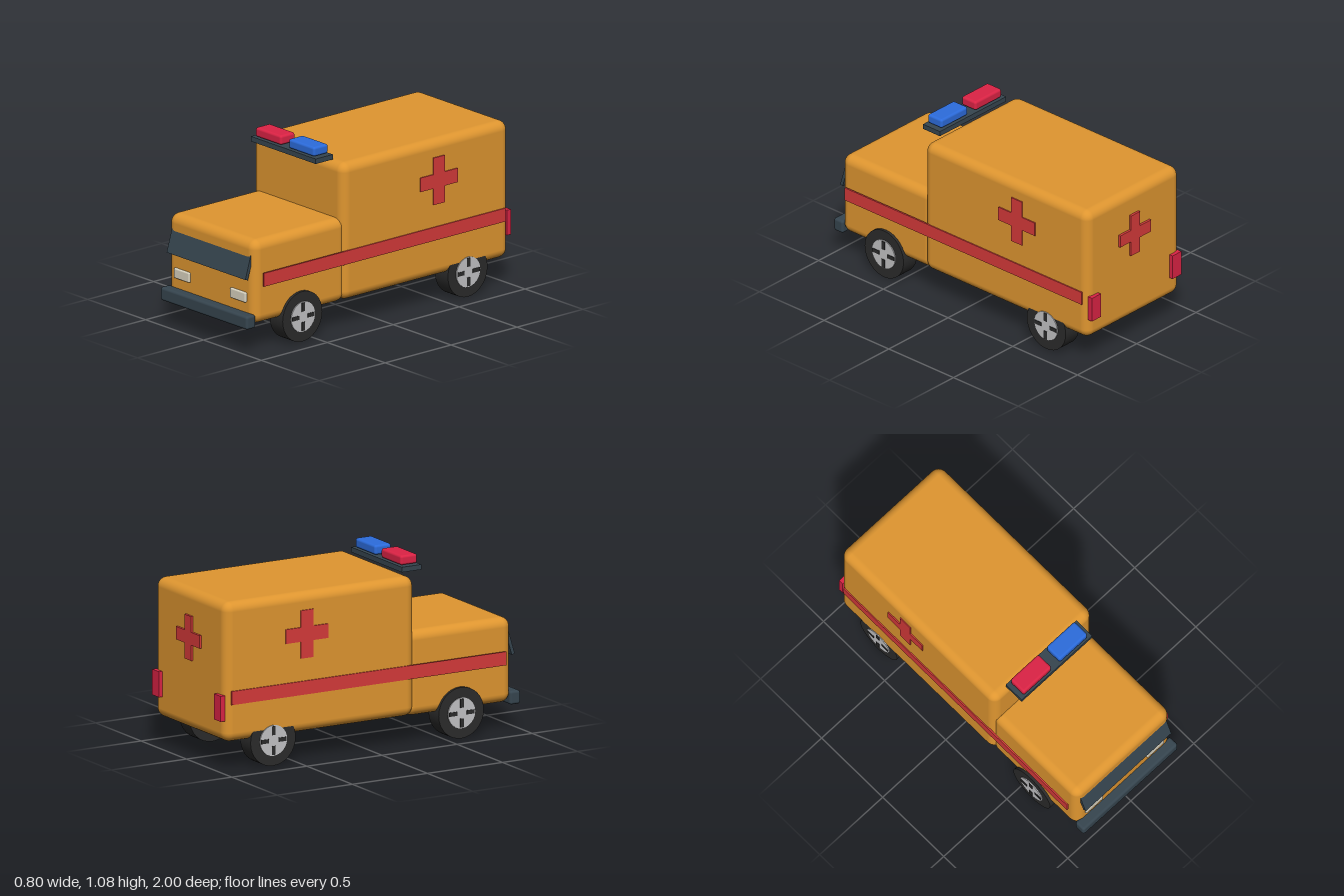
import * as THREE from 'three';
import { RoundedBoxGeometry } from 'three/addons/geometries/RoundedBoxGeometry.js';

const paint = (name, color) => {
  const m = new THREE.MeshStandardMaterial({ color });
  m.name = name;
  return m;
};

export function createModel() {
  const orange = paint('orange paint', 0xdf9630);
  const charcoal = paint('charcoal', 0x36454f);
  const red = paint('marking red', 0xd63a3a);
  const crimson = paint('lamp crimson', 0xdc2345);
  const blue = paint('lamp blue', 0x2c6cdc);
  const cream = paint('headlight cream', 0xd9d3c0);
  const rubber = paint('tyre rubber', 0x2b2b2b);
  const silver = paint('hub silver', 0xc4c4c6);

  const model = new THREE.Group();
  model.name = 'ambulance';

  const add = (name, geometry, material, x, y, z, parent = model) => {
    const mesh = new THREE.Mesh(geometry, material);
    mesh.name = name;
    mesh.position.set(x, y, z);
    parent.add(mesh);
    return mesh;
  };
  const box = (w, h, d) => new THREE.BoxGeometry(w, h, d);
  const rounded = (w, h, d, r) => new RoundedBoxGeometry(w, h, d, 4, r);

  // Rear compartment and cab
  add('rearBody', rounded(0.786, 0.82, 1.265, 0.055), orange, 0, 0.582, -0.345);
  add('cab', rounded(0.75, 0.5, 0.7, 0.055), orange, 0, 0.415, 0.593);

  // Front details
  const windshield = add('windshield', box(0.68, 0.19, 0.02), charcoal, 0, 0.528, 0.944);
  windshield.rotation.x = -0.29;
  add('bumper', rounded(0.75, 0.08, 0.07, 0.015), charcoal, 0, 0.19, 0.965);
  for (const s of [-1, 1]) {
    add('headlight', rounded(0.134, 0.06, 0.03, 0.008), cream, s * 0.243, 0.32, 0.942);
  }

  // Roof light bar
  add('lightBar', box(0.56, 0.03, 0.13), charcoal, 0, 1.01, 0.33);
  add('redBeacon', rounded(0.222, 0.056, 0.11, 0.014), crimson, -0.143, 1.056, 0.33);
  add('blueBeacon', rounded(0.222, 0.056, 0.11, 0.014), blue, 0.143, 1.056, 0.33);

  // Raised cross plates
  const crossGeometry = (size, arm, depth) => {
    const a = size / 2, b = arm / 2;
    const shape = new THREE.Shape([
      [b, a], [-b, a], [-b, b], [-a, b], [-a, -b], [-b, -b],
      [-b, -a], [b, -a], [b, -b], [a, -b], [a, b], [b, b],
    ].map(([x, y]) => new THREE.Vector2(x, y)));
    return new THREE.ExtrudeGeometry(shape, { depth, bevelEnabled: false });
  };

  // Side markings and tail lights
  for (const s of [-1, 1]) {
    add('sideStripe', box(0.01, 0.08, 1.83), red, s * 0.395, 0.435, -0.025);
    const cross = add('sideCross', crossGeometry(0.282, 0.084, 0.01), red, s * 0.39, 0.75, -0.437);
    cross.rotation.y = s * Math.PI / 2;
    add('tailLight', box(0.075, 0.15, 0.03), crimson, s * 0.34, 0.375, -0.985);
  }
  const rearCross = add('rearCross', crossGeometry(0.26, 0.075, 0.02), red, 0, 0.715, -0.972);
  rearCross.rotation.y = Math.PI;

  // Wheels: tyre, hub drum and four dark slots on each face
  const tyre = new THREE.CylinderGeometry(0.15, 0.15, 0.112, 32).rotateZ(Math.PI / 2);
  const hub = new THREE.CylinderGeometry(0.09, 0.09, 0.124, 24).rotateZ(Math.PI / 2);
  const slot = box(0.008, 0.052, 0.024);
  for (const s of [-1, 1]) {
    for (const z of [0.593, -0.66]) {
      const wheel = new THREE.Group();
      wheel.name = z > 0 ? 'frontWheel' : 'rearWheel';
      wheel.position.set(s * 0.336, 0.152, z);
      model.add(wheel);
      add('tyre', tyre, rubber, 0, 0, 0, wheel);
      add('hub', hub, silver, 0, 0, 0, wheel);
      for (const face of [-1, 1]) {
        for (let i = 0; i < 4; i++) {
          const a = i * Math.PI / 2;
          const mesh = add('hubSlot', slot, rubber, face * 0.061, Math.cos(a) * 0.058, Math.sin(a) * 0.058, wheel);
          mesh.rotation.x = a;
        }
      }
    }
  }
  return model;
}
